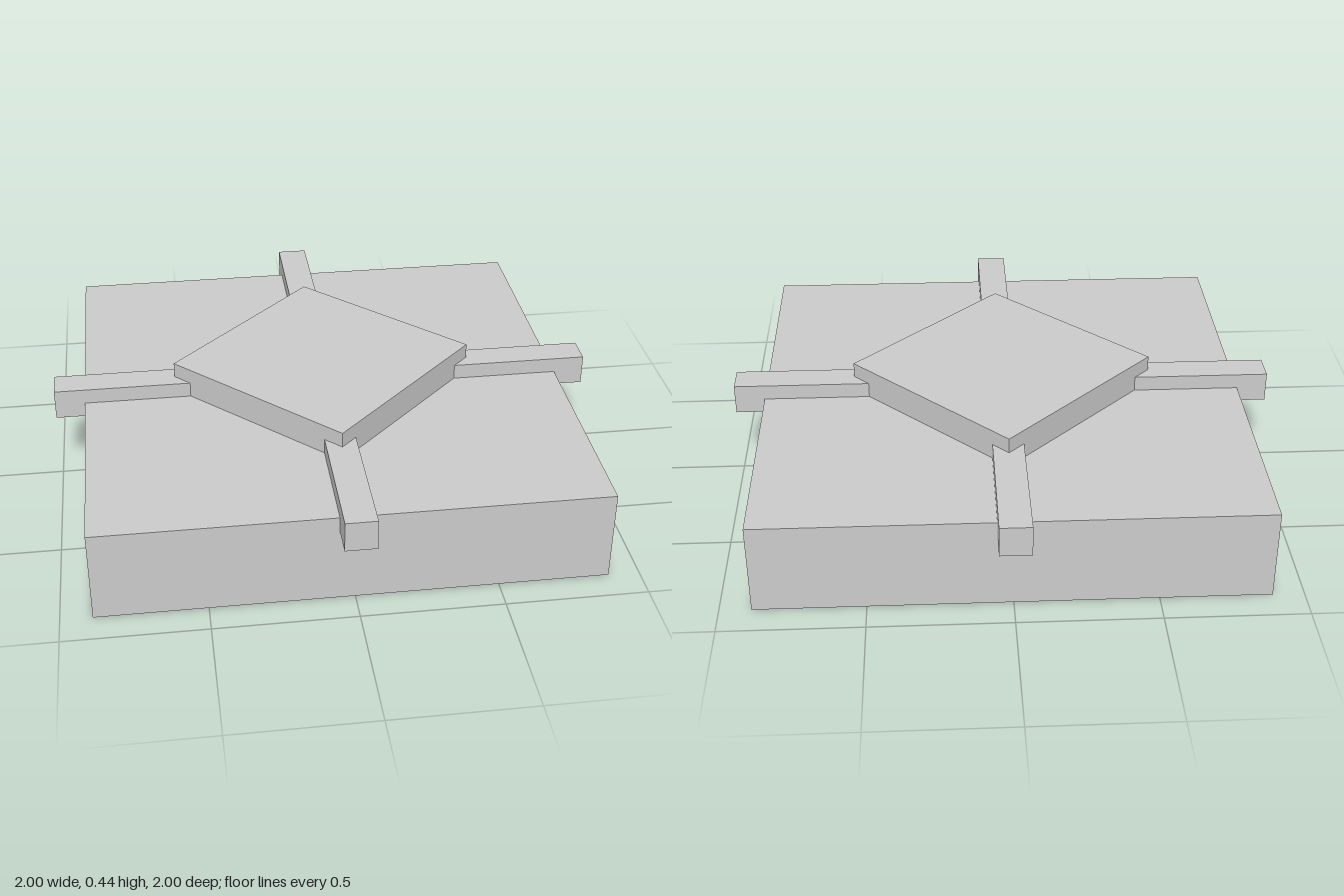
import * as THREE from 'three';

export function createModel() {
  const group = new THREE.Group();
  const material = new THREE.MeshStandardMaterial({ color: 0xcccccc, flatShading: true });

  // Adds a box whose underside sits at the given height
  function addBox(name, width, height, depth, bottom, turn = 0) {
    const mesh = new THREE.Mesh(new THREE.BoxGeometry(width, height, depth), material);
    mesh.name = name;
    mesh.position.y = bottom + height / 2;
    mesh.rotation.y = turn;
    group.add(mesh);
  }

  // Square slab
  addBox('base', 1.78, 0.333, 1.78, 0);

  // Two crossed bars, half sunk into the slab and overhanging its edges
  addBox('crossBarSide', 2, 0.111, 0.111, 0.278);
  addBox('crossBarFront', 2, 0.111, 0.111, 0.278, Math.PI / 2);

  // Square plate turned by an eighth of a circle
  const halfDiagonal = 0.555;
  const side = halfDiagonal * Math.SQRT2;
  addBox('topPlate', side, 0.115, side, 0.33, Math.PI / 4);

  return group;
}
